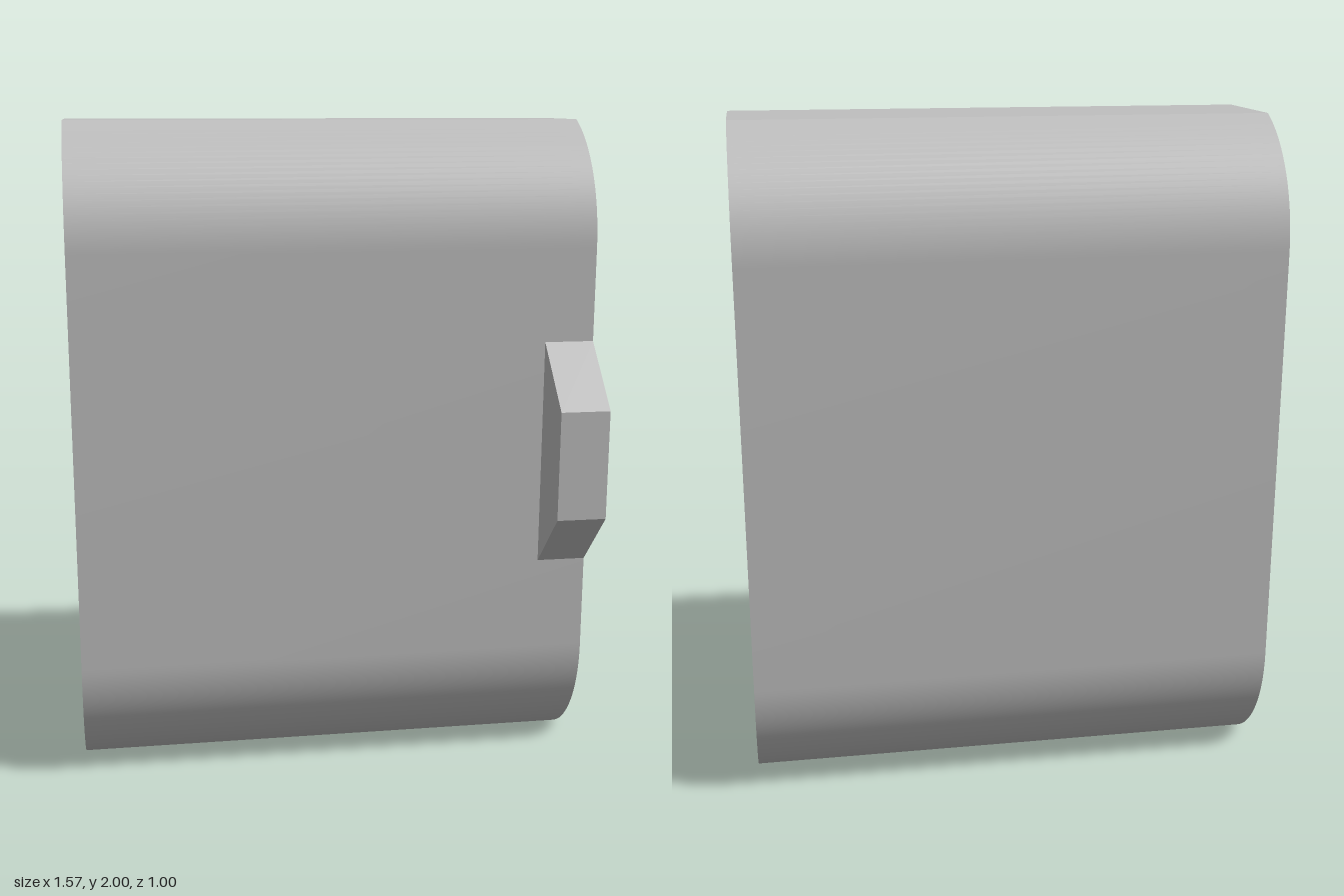
import * as THREE from 'three';
import { toCreasedNormals } from 'three/addons/utils/BufferGeometryUtils.js';

// Cross-sections are 2D points (u, y) seen from +x, so u = -z.
const HALF = 0.785, AXIS_U = 0.09, AXIS_Y = 1;
const BORE_R = 0.3, HOLE_R = 0.16;
const BORE_END = -0.05, CONE_END = -0.35;

// Rounded slab outline with flat top and bottom, counter-clockwise and closed
function bodyOutline() {
  const r = 0.41, low = 0.373, cut = Math.acos(0.17 / r), n = 24, pts = [];
  const arc = (cy, a, b) => {
    for (let i = 0; i <= n; i++) {
      const t = a + (b - a) * i / n;
      pts.push(new THREE.Vector2(AXIS_U + r * Math.cos(t), cy + r * Math.sin(t)));
    }
  };
  arc(low, -cut, 0);
  arc(2 - low, 0, cut);
  arc(2 - low, Math.PI - cut, Math.PI);
  arc(low, Math.PI, Math.PI + cut);
  pts.push(pts[0].clone());
  return pts;
}

// Clockwise ring about the bore axis, angle measured from the top;
// a teardrop has a 45 degree roof tangent to the circle
function ring(r, teardrop, from = -Math.PI, to = Math.PI) {
  const n = Math.round((to - from) / (Math.PI / 48)), pts = [];
  for (let i = 0; i <= n; i++) {
    const t = from + (to - from) * i / n;
    const roof = teardrop && Math.abs(t) < Math.PI / 4;
    const rho = roof ? r / Math.cos(Math.PI / 4 - Math.abs(t)) : r;
    pts.push(new THREE.Vector2(AXIS_U + rho * Math.sin(t), AXIS_Y + rho * Math.cos(t)));
  }
  return pts;
}

// Surface between two matching cross-sections
function loft(a, xa, b, xb) {
  const pos = [];
  const put = (p, x) => pos.push(x, p.y, -p.x);
  for (let i = 0; i < a.length - 1; i++) {
    put(a[i], xa); put(a[i + 1], xa); put(b[i], xb);
    put(a[i + 1], xa); put(b[i + 1], xb); put(b[i], xb);
  }
  const g = new THREE.BufferGeometry();
  g.setAttribute('position', new THREE.Float32BufferAttribute(pos, 3));
  return toCreasedNormals(g, Math.PI / 9);
}

// Flat end face with a hole, facing side * x
function endFace(outline, hole, side) {
  const place = pts => pts.slice(0, -1).map(p => new THREE.Vector2(p.x * side, p.y));
  const shape = new THREE.Shape(place(outline));
  shape.holes.push(new THREE.Path(place(hole)));
  return new THREE.ShapeGeometry(shape).rotateY(side * Math.PI / 2).translate(side * HALF, 0, 0);
}

export function createModel() {
  const model = new THREE.Group();
  model.name = 'slottedBlock';
  const grey = new THREE.MeshStandardMaterial({ color: 0xbfbfbf });
  grey.name = 'grey';
  const add = (name, geometry) => {
    const mesh = new THREE.Mesh(geometry, grey);
    mesh.name = name;
    model.add(mesh);
  };

  const body = bodyOutline();
  const bore = ring(BORE_R, true), hole = ring(HOLE_R, true);

  // Block
  add('bodyWall', loft(body, -HALF, body, HALF));
  add('leftEndFace', endFace(body, bore, 1));
  add('rightEndFace', endFace(body, hole, -1));

  // Stepped teardrop passage: wide bore, ledge under its roof, funnel, narrow hole
  add('wideBore', loft(bore, BORE_END, bore, HALF));
  const q = Math.PI / 4;
  add('boreLedge', loft(ring(BORE_R, false, -q, q), BORE_END, ring(BORE_R, true, -q, q), BORE_END));
  add('funnel', loft(hole, CONE_END, ring(BORE_R, false), BORE_END));
  add('narrowHole', loft(hole, -HALF, hole, CONE_END));

  // Locating tab on the front
  const tab = new THREE.Shape([[-0.32, 0.655], [-0.32, 1.345], [-0.5, 1.165], [-0.5, 0.835]]
    .map(([u, y]) => new THREE.Vector2(u, y)));
  const tabDepth = 0.15;
  add('frontTab', new THREE.ExtrudeGeometry(tab, { depth: tabDepth, bevelEnabled: false })
    .rotateY(Math.PI / 2).translate(HALF - tabDepth, 0, 0));

  return model;
}
